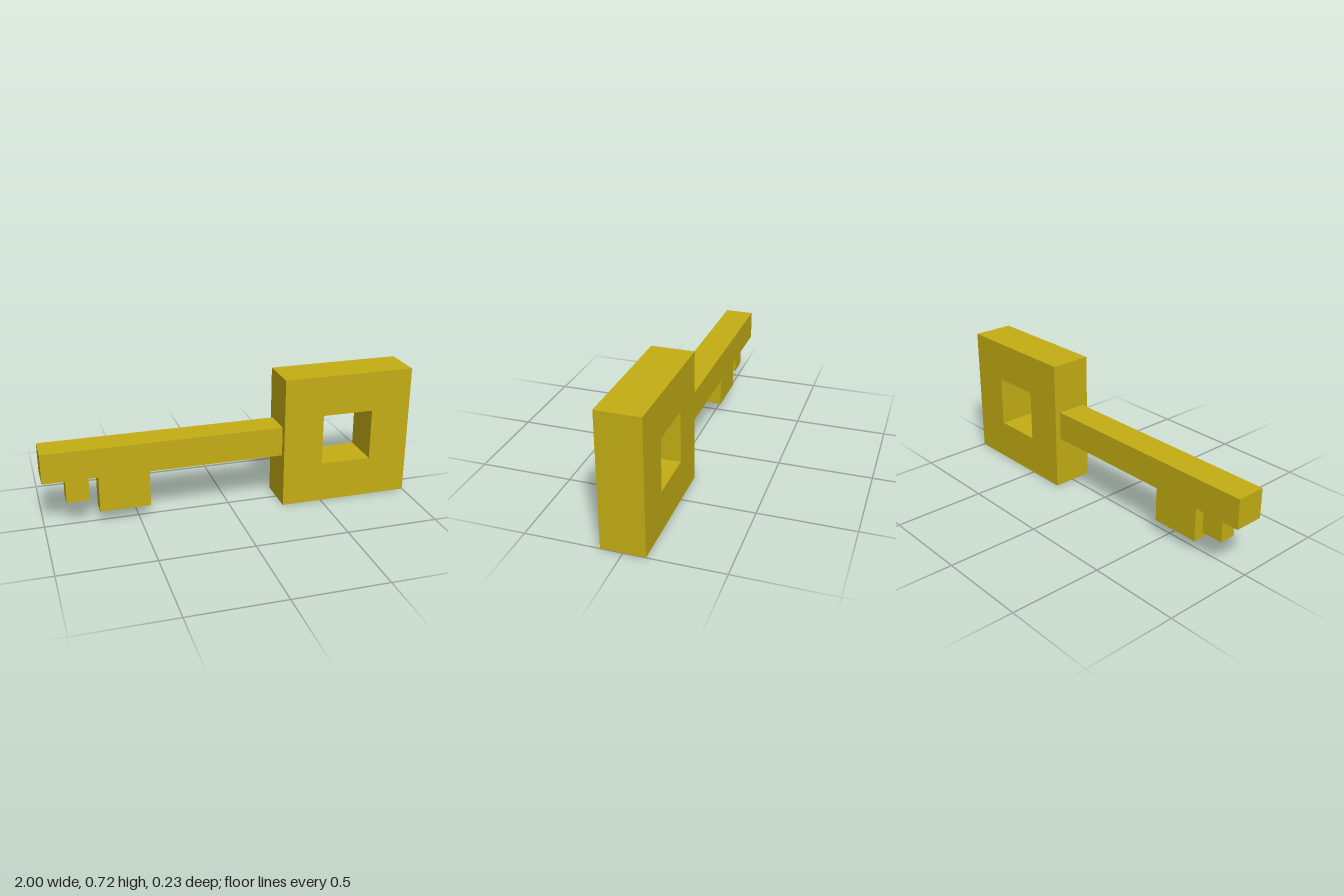
import * as THREE from 'three';

export function createModel() {
  const key = new THREE.Group();
  key.name = 'key';
  const material = new THREE.MeshStandardMaterial({ color: 0xc4ae14, flatShading: true });

  const add = (name, geometry) => {
    const mesh = new THREE.Mesh(geometry, material);
    mesh.name = name;
    key.add(mesh);
  };
  // Box spanning x0..x1 and y0..y1, centred on z = 0
  const bar = (name, x0, x1, y0, y1, depth) =>
    add(name, new THREE.BoxGeometry(x1 - x0, y1 - y0, depth)
      .translate((x0 + x1) / 2, (y0 + y1) / 2, 0));
  const rect = (path, x0, x1, y0, y1) =>
    path.moveTo(x0, y0).lineTo(x1, y0).lineTo(x1, y1).lineTo(x0, y1).closePath();

  // Square bow with a square hole
  const outline = new THREE.Shape();
  rect(outline, 0.28, 1, 0, 0.72);
  const hole = new THREE.Path();
  rect(hole, 0.5, 0.78, 0.22, 0.5);
  outline.holes.push(hole);
  const bowDepth = 0.226;
  add('bow', new THREE.ExtrudeGeometry(outline, { depth: bowDepth, bevelEnabled: false })
    .translate(0, 0, -bowDepth / 2));

  // Shaft and the two teeth hanging below it
  bar('shaft', -1, 0.28, 0.284, 0.444, 0.16);
  bar('smallTooth', -0.88, -0.76, 0.145, 0.284, 0.09);
  bar('largeTooth', -0.71, -0.44, 0.07, 0.284, 0.09);

  return key;
}
